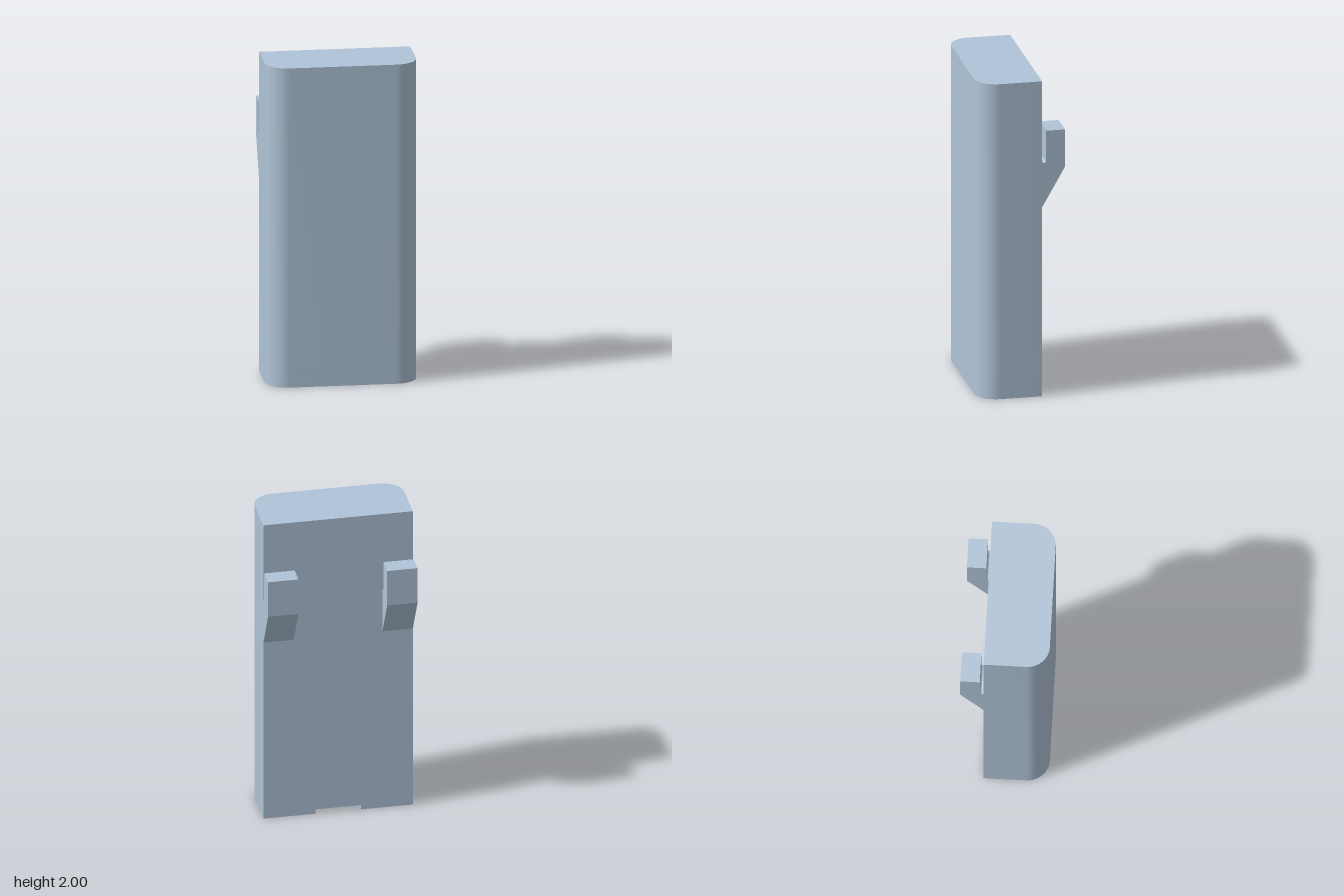
import * as THREE from 'three';
import { toCreasedNormals } from 'three/addons/utils/BufferGeometryUtils.js';

const W = 0.46, BACK = -0.125, FRONT = 0.267;
const RECESS = 0.03; // depth of the port recess
const BASE = 0.12;   // height of the base layers that surround the port
const INSET = 0.035; // width of the rim around the base panel
const NOTCH = 0.14;  // half width of the port recess

const shell = new THREE.MeshStandardMaterial({ color: 0xb0c4d8 });
const grey = new THREE.MeshStandardMaterial({ color: 0xcccccc });

// Extrude a plan shape (x, z) between two heights
function slab(name, shape, y0, y1, material) {
  const geo = new THREE.ExtrudeGeometry(shape, { depth: y1 - y0, bevelEnabled: false, curveSegments: 16 });
  geo.rotateX(Math.PI / 2).translate(0, y1, 0);
  const mesh = new THREE.Mesh(toCreasedNormals(geo, 0.5), material);
  mesh.name = name;
  return mesh;
}

// Path from the back edge round the two front corners; gap opens it at the back
function traceOutline(path, inset, r) {
  const w = W - inset, b = BACK + inset, f = FRONT - inset;
  path.lineTo(w, b);
  path.lineTo(w, f - r);
  path.absarc(w - r, f - r, r, 0, Math.PI / 2, false);
  path.lineTo(-w + r, f);
  path.absarc(-w + r, f - r, r, Math.PI / 2, Math.PI, false);
  path.lineTo(-w, b);
  return path;
}
function outline(inset, Type = THREE.Shape) {
  const path = new Type();
  path.moveTo(0, BACK + inset);
  traceOutline(path, inset, 0.135 - inset);
  path.closePath();
  return path;
}

// Stadium shape for the port opening
function pill(halfLength, r, z, Type = THREE.Path) {
  const p = new Type();
  const c = halfLength - r;
  p.moveTo(-c, z - r);
  p.lineTo(c, z - r);
  p.absarc(c, z, r, -Math.PI / 2, Math.PI / 2, false);
  p.lineTo(-c, z + r);
  p.absarc(-c, z, r, Math.PI / 2, Math.PI * 1.5, false);
  return p;
}

// Bottom layer of the rim, open at the back where the recess runs out
function openRim() {
  const s = new THREE.Shape();
  const w = W - INSET, b = BACK + INSET, f = FRONT - INSET, r = 0.135 - INSET;
  s.moveTo(NOTCH, BACK);
  traceOutline(s, 0, 0.135);
  s.lineTo(-NOTCH, BACK);
  s.lineTo(-NOTCH, b);
  s.lineTo(-w, b);
  s.lineTo(-w, f - r);
  s.absarc(-w + r, f - r, r, Math.PI, Math.PI / 2, true);
  s.lineTo(w - r, f);
  s.absarc(w - r, f - r, r, Math.PI / 2, 0, true);
  s.lineTo(w, b);
  s.lineTo(NOTCH, b);
  return s;
}

// Bottom layer of the panel, with the round-cornered recess cut in from the back
function recessedPanel() {
  const s = new THREE.Shape();
  const r = 0.1, front = 0.05;
  s.moveTo(NOTCH, BACK + INSET);
  traceOutline(s, INSET, 0.135 - INSET);
  s.lineTo(-NOTCH, BACK + INSET);
  s.lineTo(-NOTCH, front - r);
  s.absarc(-NOTCH + r, front - r, r, Math.PI, Math.PI / 2, true);
  s.lineTo(NOTCH - r, front);
  s.absarc(NOTCH - r, front - r, r, Math.PI / 2, 0, true);
  return s;
}

// Hook with a round-bottomed slot, profile in (z, y), extruded along x
function clip(name, xRight) {
  const gap = 0.024, r = gap / 2;
  const s = new THREE.Shape();
  s.moveTo(BACK, 1.2);
  s.lineTo(BACK, 1.48 + r);
  s.absarc(BACK - r, 1.48 + r, r, 0, -Math.PI, true);
  s.lineTo(BACK - gap, 1.685);
  s.lineTo(-0.267, 1.685);
  s.lineTo(-0.267, 1.45);
  s.closePath();
  const geo = new THREE.ExtrudeGeometry(s, { depth: 0.187, bevelEnabled: false, curveSegments: 12 });
  geo.rotateY(-Math.PI / 2).translate(xRight, 0, 0);
  const mesh = new THREE.Mesh(toCreasedNormals(geo, 0.5), shell);
  mesh.name = name;
  return mesh;
}

export function createModel() {
  const model = new THREE.Group();
  model.name = 'clipOnCase';

  // Case body and the rim that frames the base panel
  model.add(slab('caseBody', outline(0), BASE, 2, shell));
  const ring = outline(0);
  ring.holes.push(outline(INSET, THREE.Path));
  model.add(slab('upperRim', ring, RECESS, BASE, shell));
  model.add(slab('lowerRim', openRim(), 0, RECESS, shell));

  // Base panel with recess and port opening
  const portZ = -0.045;
  const floor = outline(INSET);
  floor.holes.push(pill(0.1, 0.035, portZ));
  model.add(slab('recessFloor', floor, RECESS, BASE, grey));
  model.add(slab('basePanel', recessedPanel(), 0, RECESS, grey));

  // Contact tongue inside the port
  model.add(slab('portTongue', pill(0.075, 0.012, portZ, THREE.Shape), RECESS + 0.01, BASE, grey));

  // Rear hooks
  model.add(clip('leftClip', W), clip('rightClip', -W + 0.187));
  return model;
}
